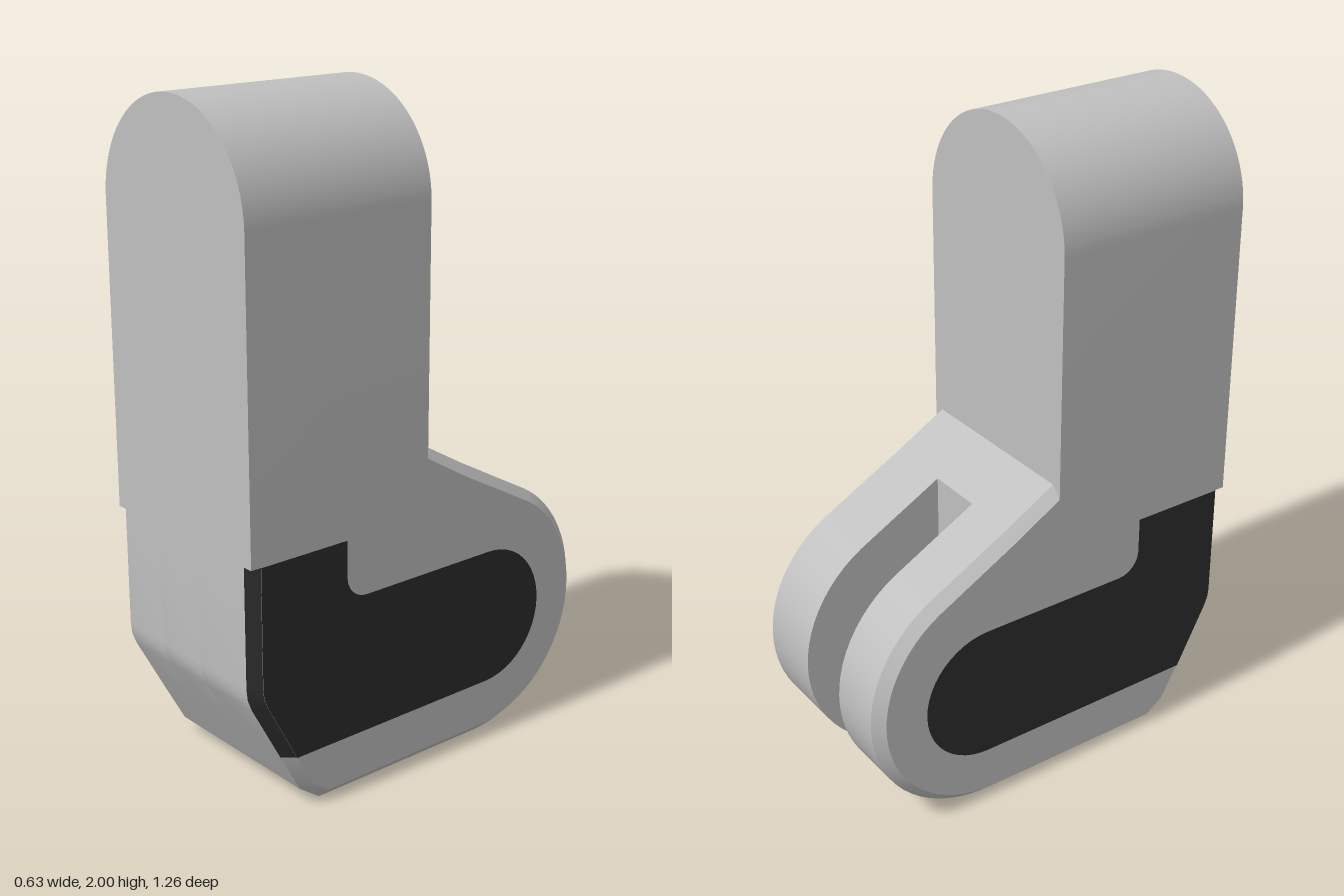
import * as THREE from 'three';
import { toCreasedNormals } from 'three/addons/utils/BufferGeometryUtils.js';

const grey = new THREE.MeshStandardMaterial({ name: 'light grey', color: 0xc0c0c0 });
const black = new THREE.MeshStandardMaterial({ name: 'black', color: 0x2d2d2d });

const HALF = 0.315, BEVEL = 0.032, TOP = 0.78, BAND = 0.175;
const SLOT_Z = -0.16, SLOT_L = 0.07, SLOT_R = -0.11;

// Points on an arc in the (z, y) plane
function arc(cz, cy, r, from, to, n) {
  return Array.from({ length: n + 1 }, (_, i) => {
    const a = from + (to - from) * i / n;
    return [cz + r * Math.cos(a), cy + r * Math.sin(a)];
  });
}

// Open side outline of the foot: down the front, along the sole, round the heel, up the slope
const slopeY = z => 0.985 + z * 0.5774;
const outline = [
  [0.63, TOP], [0.63, 0.42], [0.626, 0.385], [0.612, 0.35], [0.518, BAND], [0.45, 0.05], [0.38, 0],
  [SLOT_Z, 0],
  ...arc(-0.23, 0.4, 0.4, -Math.PI / 2, -Math.PI * 4 / 3, 28),
  [SLOT_Z, slopeY(SLOT_Z)], [0, slopeY(0)],
];

// The same outline moved inward by the bevel width
function inset(pts, d) {
  const normal = (p, q) => {
    const dz = q[0] - p[0], dy = q[1] - p[1], l = Math.hypot(dz, dy);
    return [dy / l, -dz / l];
  };
  return pts.map((p, i) => {
    const a = normal(pts[Math.max(i - 1, 0)], pts[Math.max(i, 1)]);
    const b = i < pts.length - 1 ? normal(p, pts[i + 1]) : a;
    const k = d / (1 + a[0] * b[0] + a[1] * b[1]);
    return [p[0] + (a[0] + b[0]) * k, p[1] + (a[1] + b[1]) * k];
  });
}
const inner = inset(outline, BEVEL);
inner[4] = [0.484, BAND];
inner[inner.length - 1] = [0, 0.95];

// Strip between two outlines at x = a and x = b, keeping the chosen segments
function skin(ptsA, a, ptsB, b, keep = () => true) {
  const pos = [];
  for (let i = 0; i < ptsA.length - 1; i++) {
    if (!keep(i)) continue;
    const [P, Q] = [ptsA[i], ptsA[i + 1]], [R, S] = [ptsB[i + 1], ptsB[i]];
    const v = [[a, P[1], P[0]], [a, Q[1], Q[0]], [b, R[1], R[0]], [b, S[1], S[0]]];
    for (const k of [0, 1, 2, 0, 2, 3]) pos.push(...v[k]);
  }
  const geo = new THREE.BufferGeometry();
  geo.setAttribute('position', new THREE.Float32BufferAttribute(pos, 3));
  geo.computeVertexNormals();
  return toCreasedNormals(geo, 0.4);
}

// Flat face in the (z, y) plane looking towards +x (dir 1) or -x (dir -1)
function face(pts, x, dir) {
  const shape = new THREE.Shape(pts.map(([z, y]) => new THREE.Vector2(-dir * z, y)));
  return new THREE.ShapeGeometry(shape).rotateY(dir * Math.PI / 2).translate(x, 0, 0);
}

export function createModel() {
  const group = new THREE.Group();
  const add = (name, geo, mat) => {
    const mesh = new THREE.Mesh(geo, mat);
    mesh.name = name;
    group.add(mesh);
  };

  // Round-topped upright block
  const arch = new THREE.Shape();
  arch.moveTo(-HALF, TOP);
  arch.lineTo(HALF, TOP);
  arch.lineTo(HALF, 2 - HALF);
  arch.absarc(0, 2 - HALF, HALF, 0, Math.PI);
  arch.closePath();
  const upright = new THREE.ExtrudeGeometry(arch, { depth: 0.63, bevelEnabled: false, curveSegments: 32 });
  add('upright', toCreasedNormals(upright, 0.5), grey);

  // Foot: solid core and two cheeks either side of the heel slot
  const flat = HALF - BEVEL;
  const beforeSlot = i => outline[i][0] >= SLOT_Z && outline[i + 1][0] >= SLOT_Z;
  add('footCore', skin(outline, SLOT_R, outline, SLOT_L, beforeSlot), grey);
  add('leftCheek', skin(outline, SLOT_L, outline, flat), grey);
  add('rightCheek', skin(outline, -flat, outline, SLOT_R), grey);

  // Slot walls
  const heel = outline.filter(p => p[0] <= SLOT_Z);
  add('slotLeftWall', face(heel, SLOT_L, -1), grey);
  add('slotRightWall', face(heel, SLOT_R, 1), grey);
  const wallH = slopeY(SLOT_Z);
  const back = new THREE.PlaneGeometry(SLOT_L - SLOT_R, wallH).rotateY(Math.PI)
    .translate((SLOT_L + SLOT_R) / 2, wallH / 2, SLOT_Z);
  add('slotEnd', back, grey);

  // Side faces, bevels and dark side panels, mirrored
  const side = [...inner, [0, TOP]];
  const panel = [
    ...inner.slice(0, 5),
    ...arc(-0.25, 0.3875, 0.2125, -Math.PI / 2, -Math.PI * 1.5, 24),
    ...arc(0.23, 0.67, 0.07, -Math.PI / 2, 0, 6),
    [0.30, TOP],
  ];
  const isBand = i => i < 4;
  for (const [name, dir] of [['left', 1], ['right', -1]]) {
    const bevel = keep => dir > 0
      ? skin(outline, flat, inner, HALF, keep)
      : skin(inner, -HALF, outline, -flat, keep);
    add(name + 'Side', face(side, dir * HALF, dir), grey);
    add(name + 'Bevel', bevel(i => !isBand(i)), grey);
    add(name + 'PanelBevel', bevel(isBand), black);
    add(name + 'Panel', face(panel, dir * (HALF + 0.002), dir), black);
  }
  return group;
}
